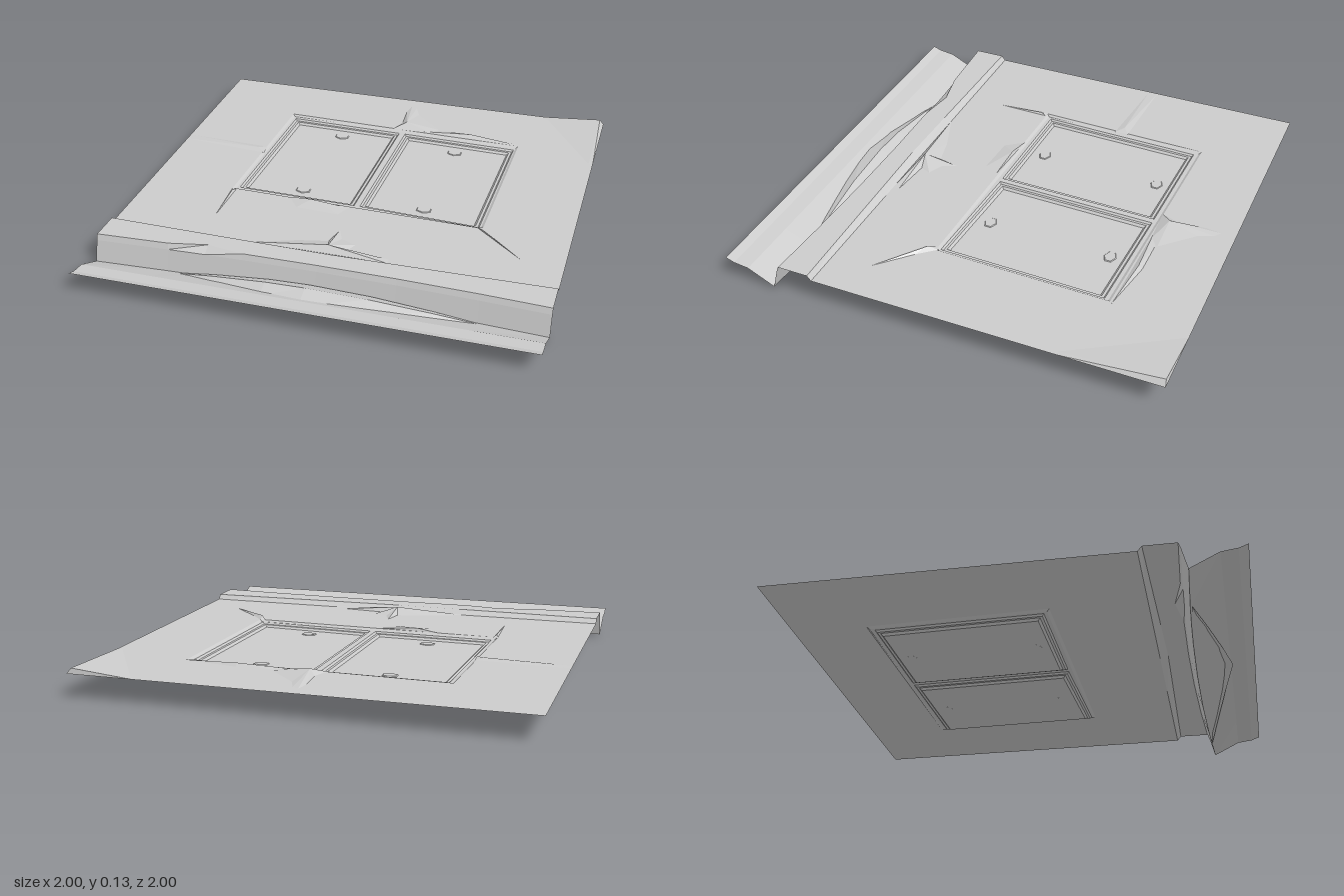
import * as THREE from 'three';

const GROUND = 0.108;
const material = new THREE.MeshStandardMaterial({ color: 0xcccccc, flatShading: true, side: THREE.DoubleSide });

function addMesh(group, geometry, name) {
  const mesh = new THREE.Mesh(geometry, material);
  mesh.name = name;
  group.add(mesh);
  return mesh;
}

// Faceted sheet from [x, y, z] triangles, each wound so that it faces upwards
function sheet(triangles) {
  const pos = [];
  for (const [a, b, c] of triangles) {
    const up = (b[2] - a[2]) * (c[0] - a[0]) - (b[0] - a[0]) * (c[2] - a[2]);
    pos.push(...a, ...(up >= 0 ? [...b, ...c] : [...c, ...b]));
  }
  const geometry = new THREE.BufferGeometry();
  geometry.setAttribute('position', new THREE.Float32BufferAttribute(pos, 3));
  geometry.computeVertexNormals();
  return geometry;
}

// Joins rows of points into a surface
function loft(rows, closed = false) {
  const triangles = [];
  for (let i = 0; i < rows.length - 1; i++) {
    const n = rows[i].length;
    for (let j = 0; j < (closed ? n : n - 1); j++) {
      const k = (j + 1) % n;
      triangles.push([rows[i][j], rows[i][k], rows[i + 1][j]], [rows[i][k], rows[i + 1][k], rows[i + 1][j]]);
    }
  }
  return sheet(triangles);
}

// Low faceted mound: a ground outline fanned up to one peak
function mound(outline, peak) {
  const base = outline.map(([x, z]) => [x, GROUND, z]);
  return sheet(base.map((p, i) => [p, base[(i + 1) % base.length], peak]));
}

// Flat horizontal plate with holes, from [x, z] outlines
function plate(outline, holes, y) {
  const points = (list) => list.map(([x, z]) => new THREE.Vector2(x, -z));
  const shape = new THREE.Shape(points(outline));
  for (const hole of holes) shape.holes.push(new THREE.Path(points(hole)));
  return new THREE.ShapeGeometry(shape).rotateX(-Math.PI / 2).translate(0, y, 0);
}

// Moves each corner of a four-sided outline towards the middle on both axes
function inset(quad, d) {
  const cx = quad.reduce((s, p) => s + p[0], 0) / 4;
  const cz = quad.reduce((s, p) => s + p[1], 0) / 4;
  return quad.map(([x, z]) => [x - d * Math.sign(x - cx), z - d * Math.sign(z - cz)]);
}

const atHeight = (outline, y) => outline.map(([x, z]) => [x, y, z]);

export function createModel() {
  const model = new THREE.Group();

  // Pavement with an opening for the hatch
  const opening = [[-0.575, -0.667], [0.62, -0.635], [0.605, 0.18], [-0.595, 0.15]];
  addMesh(model, plate([[-1, -1], [1, -1], [1, 0.57], [-1, 0.57]], [opening], GROUND), 'pavement');

  // Hatch frame, slightly sunk
  const frameEdge = inset(opening, 0.012);
  const doors = [
    [[-0.55, -0.635], [0.01, -0.622], [-0.005, 0.135], [-0.57, 0.122]],
    [[0.04, -0.622], [0.602, -0.605], [0.585, 0.165], [0.022, 0.135]],
  ];
  const hatch = new THREE.Group();
  hatch.name = 'hatch';
  model.add(hatch);
  addMesh(hatch, loft([atHeight(opening, GROUND), atHeight(frameEdge, 0.1)], true), 'frameLip');
  addMesh(hatch, plate(frameEdge, doors, 0.1), 'frame');

  // Sunken doors with stepped rims and six-sided lift plates
  const plates = [[[-0.27, -0.54], [-0.285, 0.035]], [[0.32, -0.525], [0.305, 0.055]]];
  doors.forEach((door, i) => {
    const steps = [[0, 0.1], [0.008, 0.092], [0.02, 0.092], [0.03, 0.082]];
    addMesh(hatch, loft(steps.map(([d, y]) => atHeight(inset(door, d), y)), true), 'doorRim');
    addMesh(hatch, plate(inset(door, 0.03), [], 0.082), 'doorPanel');
    for (const [x, z] of plates[i]) {
      const lift = new THREE.CylinderGeometry(0.034, 0.04, 0.004, 6).scale(1, 1, 0.75);
      addMesh(hatch, lift, 'liftPlate').position.set(x, 0.083, z);
    }
  });

  // Kerb and gutter: one profile carried along x, bowed back in the middle, with a chip in the kerb
  const profile = [[0.57, GROUND], [0.588, 0.13], [0.73, 0.13], [0.74, 0.104], [0.765, 0.01],
    [0.89, 0.072], [0.96, 0.081], [1, 0.096]];
  const stations = [-1, -0.67, -0.5, -0.33, 0, 0.35, 0.7, 1];
  const rows = stations.map((x) => profile.map(([z, y], j) => {
    let bow = j >= 2 && j <= 4 ? 0.03 * (1 - x * x) : 0;
    if (j === 1) bow = -0.018 * (1 - Math.abs(x));
    if (j === 2 && x === -0.5) bow += 0.03;
    return [x, y, z - bow];
  }));
  addMesh(model, loft(rows.map((r) => r.slice(0, 5))), 'kerb');
  addMesh(model, loft(rows.map((r) => r.slice(4))), 'gutter');

  // Heap of silt swelling in the middle of the gutter
  const heap = [-0.7, -0.45, -0.2, -0.02, 0.25, 0.52, 0.8].map((x) => {
    const t = 1 - Math.abs(x + 0.02) / (x < 0 ? 0.68 : 0.82);
    const s = Math.sin(t * Math.PI / 2);
    return [[x, 0.003 + 0.047 * s, 0.757 - 0.022 * s], [x, 0.004 + 0.073 * s, 0.758 + 0.042 * s],
      [x, 0.002 + 0.05 * s, 0.76 + 0.14 * t]];
  });
  addMesh(model, loft(heap), 'gutterHeap');

  // Broken, lifted ground around the hatch and kerb
  const mounds = {
    backMound: [[[0, -0.93], [0.03, -0.91], [0.06, -0.84], [0.2, -0.7], [0.17, -0.655], [-0.03, -0.65], [0, -0.73],
      [-0.01, -0.86]], [0.03, 0.13, -0.7]],
    backRidge: [[[0.1, -0.655], [0.2, -0.69], [0.37, -0.69], [0.63, -0.645], [0.36, -0.65]], [0.37, 0.121, -0.672]],
    kerbMound: [[[-0.34, 0.57], [-0.15, 0.5], [-0.02, 0.47], [0, 0.37], [0.03, 0.44], [0.1, 0.47], [0.08, 0.52],
      [0.27, 0.54], [0.27, 0.57]], [0, 0.135, 0.54]],
    frontFlap: [[[-0.31, 0.155], [-0.25, 0.235], [-0.05, 0.245], [-0.02, 0.175]], [-0.2, 0.122, 0.17]],
    cornerCrack: [[[0.58, 0.18], [0.6, 0.17], [0.67, 0.25], [0.81, 0.385]], [0.61, 0.122, 0.215]],
    leftCrack: [[[-0.595, 0.155], [-0.575, 0.155], [-0.58, 0.4]], [-0.585, 0.116, 0.18]],
    sideRipple: [[[-1, -0.3], [-0.58, -0.285], [-0.575, -0.22], [-1, -0.255]], [-0.62, 0.115, -0.255]],
  };
  for (const [name, [outline, peak]] of Object.entries(mounds)) addMesh(model, mound(outline, peak), name);

  // Lifted back corner
  const corner = [0.98, 0.133, -0.995];
  const foldEnds = [[0.7, GROUND, -1], [0.98, GROUND, -0.55], [1, GROUND, -0.55], [1, GROUND, -1]];
  addMesh(model, sheet(foldEnds.map((p, i) => [p, foldEnds[(i + 1) % 4], corner])), 'liftedCorner');

  return model;
}
